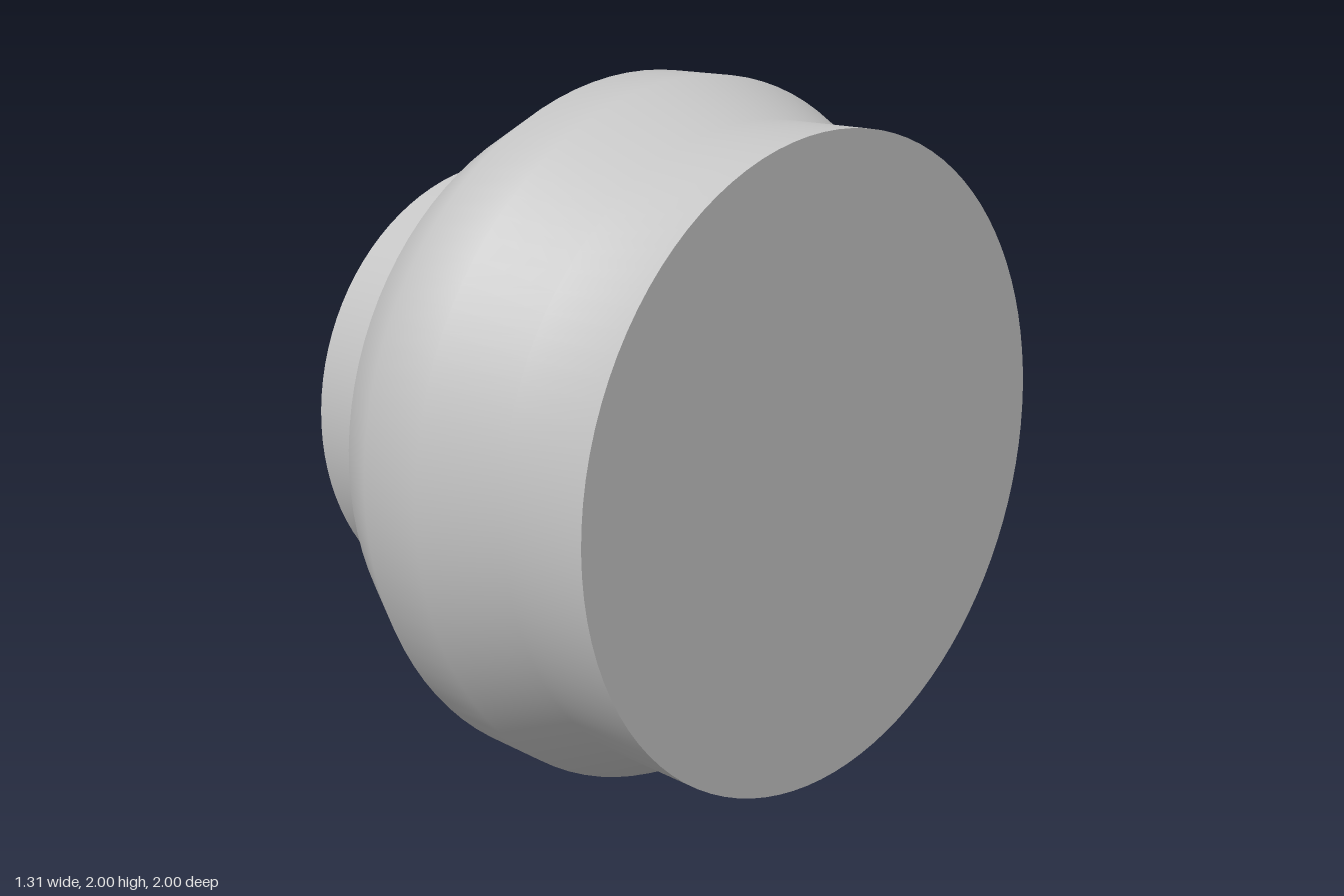
import * as THREE from 'three';

const SEGMENTS = 96;

export function createModel() {
  const group = new THREE.Group();
  group.name = 'turnedCoupling';
  const grey = new THREE.MeshStandardMaterial({ color: 0xc4c4c4 });
  grey.name = 'plain grey';

  const add = (name, geometry) => {
    const mesh = new THREE.Mesh(geometry, grey);
    mesh.name = name;
    mesh.position.y = 1;
    group.add(mesh);
  };

  // Surface turned about the x axis from [x, radius] pairs
  const turned = (profile) => new THREE.LatheGeometry(
    profile.map(([x, r]) => new THREE.Vector2(r, x)), SEGMENTS).rotateZ(-Math.PI / 2);

  // Flat end disc facing +x or -x
  const disc = (x, r) => new THREE.CircleGeometry(r, SEGMENTS)
    .rotateY(Math.sign(x) * Math.PI / 2).translate(x, 0, 0);

  // Narrow neck, with a sharp edge where it meets the body
  add('neck', turned([[-0.655, 0.69], [-0.45, 0.69]]));
  // Bulging body running smoothly into the wide collar
  add('body', turned([
    [-0.45, 0.69], [-0.24, 0.897], [-0.035, 1], [0.17, 1], [0.375, 0.897], [0.655, 0.897],
  ]));
  // End faces
  add('neckEnd', disc(-0.655, 0.69));
  add('collarEnd', disc(0.655, 0.897));

  return group;
}
